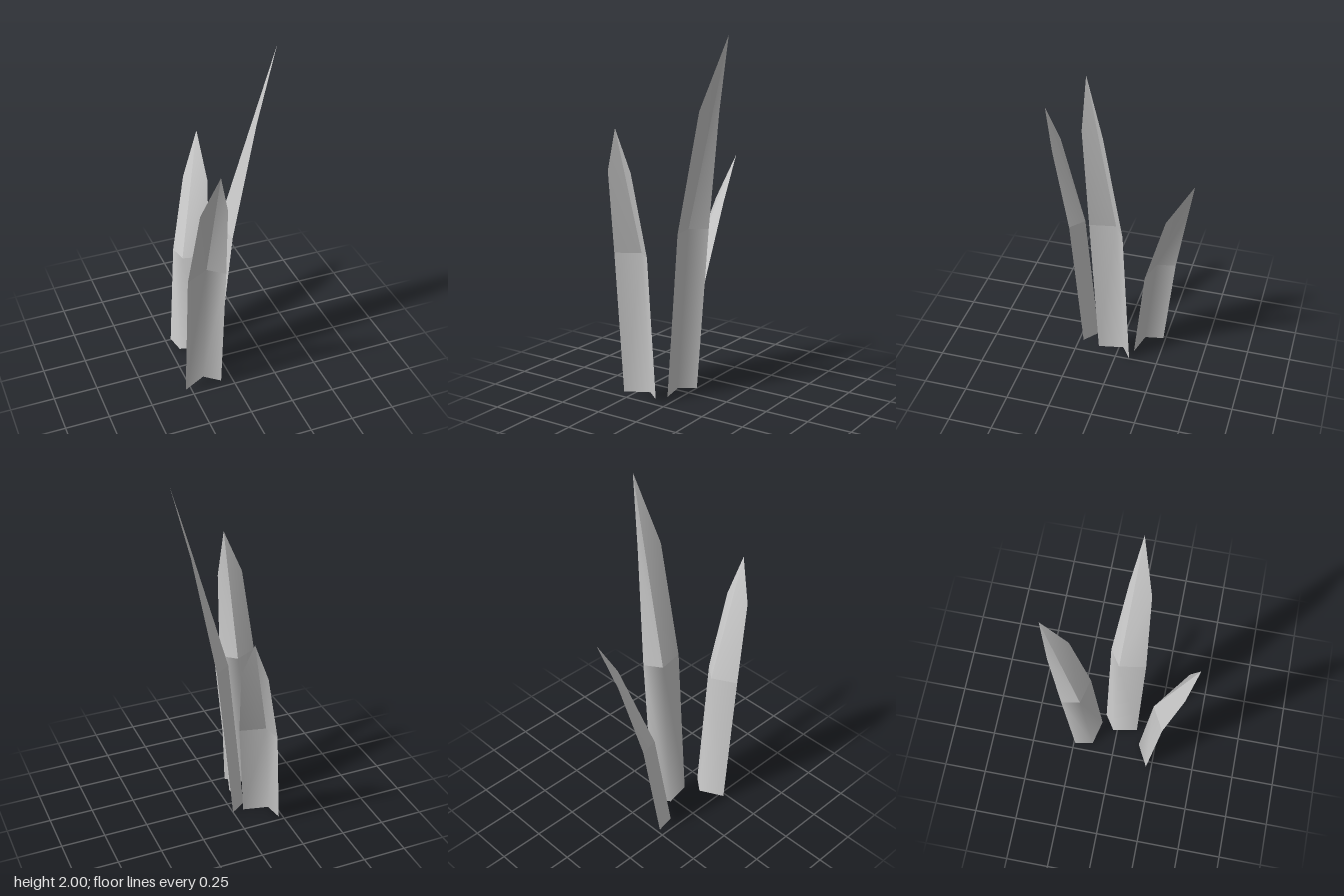
import * as THREE from 'three';
import { mergeGeometries } from 'three/addons/utils/BufferGeometryUtils.js';

const material = new THREE.MeshStandardMaterial({ color: 0xcccccc, side: THREE.DoubleSide });

// Surface with normals smoothed only inside its own patch
function patch(points, index) {
  const g = new THREE.BufferGeometry();
  g.setAttribute('position', new THREE.Float32BufferAttribute(points.flat(), 3));
  g.setIndex(index);
  g.computeVertexNormals();
  return g;
}

// Folded blade: each row is height plus [x, z] of one edge, the fold and the other edge
function blade(name, { base, mid, shoulder, tip }) {
  const row = ({ y, at }) => at.map(([x, z]) => [x, y, z]);
  const [b0, bf, b1] = row(base);
  const [m0, mf, m1] = row(mid);
  const [s0, s1] = row(shoulder);
  const [t] = row(tip);

  // Softly folded stalk, then two flat facets meeting in a sharp crease
  const stalk = patch([b0, bf, b1, m0, mf, m1], [0, 1, 4, 0, 4, 3, 1, 2, 5, 1, 5, 4]);
  const facetA = patch([m0, mf, t, s0], [0, 1, 3, 1, 2, 3]);
  const facetB = patch([mf, m1, s1, t], [0, 1, 2, 0, 2, 3]);

  const mesh = new THREE.Mesh(mergeGeometries([stalk, facetA, facetB]), material);
  mesh.name = name;
  return mesh;
}

export function createModel() {
  const group = new THREE.Group();
  group.name = 'grassTuft';
  group.add(
    blade('frontBlade', {
      base: { y: 0.02, at: [[-0.288, 0.218], [-0.157, 0.149], [-0.072, 0.218]] },
      mid: { y: 0.835, at: [[-0.288, 0.29], [-0.157, 0.22], [-0.072, 0.29]] },
      shoulder: { y: 1.3, at: [[-0.25, 0.385], [-0.102, 0.385]] },
      tip: { y: 1.535, at: [[-0.16, 0.437]] },
    }),
    blade('tallBlade', {
      base: { y: 0.003, at: [[-0.062, 0.12], [-0.09, -0.025], [0, -0.085]] },
      mid: { y: 0.945, at: [[0.023, 0.142], [-0.003, -0.004], [0.088, -0.065]] },
      shoulder: { y: 1.61, at: [[0.153, 0.133], [0.198, 0.008]] },
      tip: { y: 2, at: [[0.285, 0.063]] },
    }),
    blade('backBlade', {
      base: { y: 0.017, at: [[-0.057, -0.099], [-0.2, -0.133], [-0.22, -0.24]] },
      mid: { y: 0.62, at: [[0, -0.17], [-0.145, -0.205], [-0.165, -0.31]] },
      shoulder: { y: 1.05, at: [[0.043, -0.29], [-0.068, -0.388]] },
      tip: { y: 1.3, at: [[0.034, -0.438]] },
    }),
  );
  return group;
}
